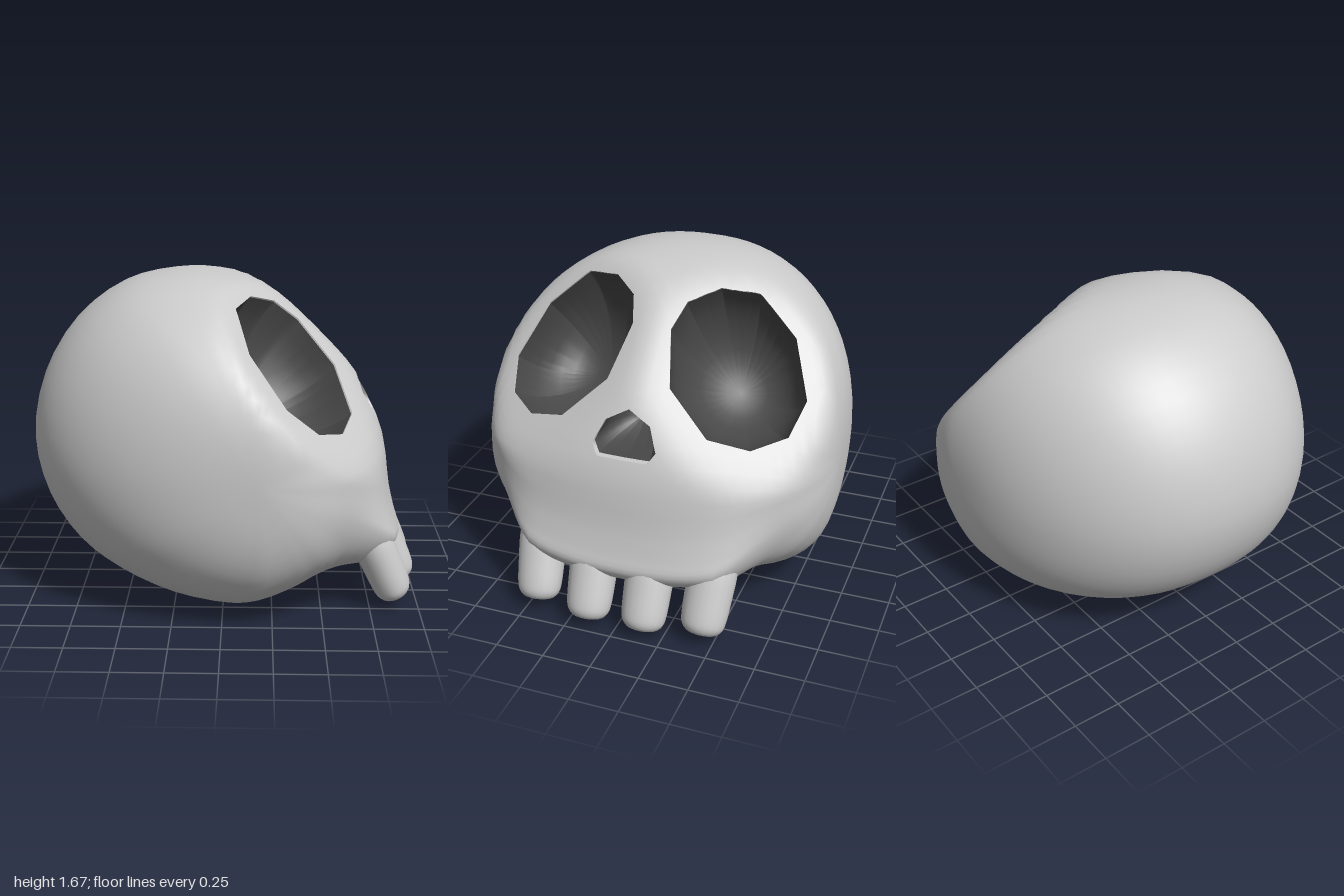
import * as THREE from 'three';
import { mergeVertices } from 'three/addons/utils/BufferGeometryUtils.js';

const V = (x, y, z) => new THREE.Vector3(x, y, z);
const CORE = V(-0.1, 0.83, 0); // the holes are cut as cones from this point
const HALF_WIDTH = 0.935;
const EYE_PLANE = V(0.66, 0.655, 0.367).normalize();
const EYE_OFFSET = 1.222;

// Outline of the skull in x, y; jaw rows add the rounder outline used towards the sides
const OUTLINE = [
  [0.9, 0.42, 0.8, 0.55], [0.868, 0.56, 0.82, 0.65], [0.83, 0.82], [0.72, 1.07], [0.605, 1.26],
  [0.42, 1.45], [0.19, 1.6], [-0.05, 1.663], [-0.28, 1.664], [-0.53, 1.6], [-0.77, 1.42], [-0.94, 1.14],
  [-1, 0.82], [-0.94, 0.54], [-0.8, 0.32], [-0.62, 0.18], [-0.36, 0.06], [-0.07, 0.003], [0.07, 0.012],
  [0.3, 0.09], [0.42, 0.145], [0.52, 0.175, 0.51, 0.19], [0.62, 0.19, 0.59, 0.25],
  [0.76, 0.21, 0.66, 0.32], [0.88, 0.275, 0.72, 0.39], [0.92, 0.34, 0.77, 0.47],
];

// Rims of the left eye and the nose in x, y, z
const EYE = [
  [0.38, 1.43, 0.1], [0.25, 1.52, 0.14], [0.13, 1.56, 0.27], [0.06, 1.53, 0.45], [0.14, 1.38, 0.69],
  [0.31, 1.12, 0.78], [0.47, 0.99, 0.74], [0.59, 0.95, 0.58], [0.63, 1.0, 0.37], [0.56, 1.2, 0.16],
];
const NOSE = [
  [0.68, 1.12, 0], [0.71, 1.06, 0.115], [0.75, 0.95, 0.16], [0.77, 0.9, 0.125],
  [0.77, 0.9, -0.125], [0.75, 0.95, -0.16], [0.71, 1.06, -0.115],
];

// Flatten the surface softly where it passes the plane of an eye
function flattenAtEye(p, side) {
  const n = V(EYE_PLANE.x, EYE_PLANE.y, EYE_PLANE.z * side);
  const d = p.clone().sub(CORE);
  const reach = n.dot(d);
  if (reach < 0.05) return;
  const t = (EYE_OFFSET - n.dot(CORE)) / reach;
  const h = Math.max(0.05 - Math.abs(1 - t), 0);
  p.copy(CORE).addScaledVector(d, Math.min(1, t) - (h * h) / 0.2);
}

// Skull skin: the outline shrinks and rounds off towards both sides
function skinTriangles() {
  const NU = OUTLINE.length * 3, NV = 40;
  const loopOf = (f) => new THREE.CatmullRomCurve3(OUTLINE.map(f), true).getPoints(NU);
  const jawLoop = loopOf(([x, y]) => V(x, y, 0));
  const roundLoop = loopOf(([x, y, rx = x, ry = y]) => V(rx, ry, 0));
  const points = [], index = [];
  for (let i = 0; i < NU; i++) {
    for (let j = 0; j <= NV; j++) {
      const k = j === 0 ? -1 : j === NV ? 1 : Math.sin((j / NV - 0.5) * Math.PI);
      const d = jawLoop[i].clone().lerp(roundLoop[i], THREE.MathUtils.smoothstep(Math.abs(k), 0.5, 0.85)).sub(CORE);
      // Squareness of the cross-section: front, back, top and bottom differ
      const c = d.x / d.length(), s = d.y / d.length();
      const power = c * c * (c > 0 ? 2 : 2.6) + s * s * (s > 0 ? 2.4 : 2.9);
      const shrink = Math.pow(Math.max(0, 1 - Math.pow(Math.abs(k), power)), 1 / power);
      const p = CORE.clone().addScaledVector(d, shrink);
      p.add(V(0.27 * k * k, -0.05 * k * k, HALF_WIDTH * k));
      flattenAtEye(p, 1);
      flattenAtEye(p, -1);
      points.push(p);
      const a = i * (NV + 1) + j, b = ((i + 1) % NU) * (NV + 1) + j;
      if (j > 0 && j < NV) index.push(a, b, b + 1);
      if (j < NV - 1) index.push(a, b + 1, a + 1);
    }
  }
  const geo = new THREE.BufferGeometry().setFromPoints(points).setIndex(index);
  geo.computeVertexNormals();
  points.forEach((p, i) => {
    const j = i % (NV + 1);
    p.normal = j === 0 ? V(0, 0, -1) : j === NV ? V(0, 0, 1) : V(0, 0, 0).fromBufferAttribute(geo.attributes.normal, i);
  });
  const tris = [];
  for (let i = 0; i < index.length; i += 3) tris.push(index.slice(i, i + 3).map((n) => points[n]));
  return tris;
}

// Cut a convex hole; returns the remaining skin and the rim edges
function cutHole(tris, rim) {
  const mid = rim.reduce((s, p) => s.add(p), V(0, 0, 0)).divideScalar(rim.length);
  const planes = rim.map((p, i) => {
    const n = p.clone().sub(CORE).cross(rim[(i + 1) % rim.length].clone().sub(CORE)).normalize();
    return n.dot(mid.clone().sub(CORE)) > 0 ? n.negate() : n;
  });
  const dist = (n, p) => n.dot(p) - n.dot(CORE);
  const kept = [], edges = [];
  for (const tri of tris) {
    if (planes.some((n) => tri.every((p) => dist(n, p) >= -1e-6))) {
      kept.push(tri);
      continue;
    }
    let inside = tri;
    for (const n of planes) {
      const out = [], inn = [];
      inside.forEach((a, i) => {
        const b = inside[(i + 1) % inside.length];
        const da = dist(n, a), db = dist(n, b);
        if (da >= 0) out.push(a);
        if (da <= 0) inn.push(a);
        if (da * db < 0) {
          const t = da / (da - db);
          const m = a.clone().lerp(b, t);
          m.normal = a.normal.clone().lerp(b.normal, t).normalize();
          out.push(m);
          inn.push(m);
        }
      });
      for (let i = 1; i < out.length - 1; i++) kept.push([out[0], out[i], out[i + 1]]);
      inside = inn;
      if (inside.length < 3) break;
    }
    if (inside.length < 3) continue;
    inside.forEach((a, i) => {
      const b = inside[(i + 1) % inside.length];
      const onRim = planes.some((n) => Math.abs(dist(n, a)) < 1e-6 && Math.abs(dist(n, b)) < 1e-6);
      if (onRim) edges.push([a, b]);
    });
  }
  return { kept, edges, mid };
}

// Bowl that runs inwards from the rim edges and becomes round as it deepens
function socketTriangles(edges, mid, depth) {
  const RINGS = 8, tris = [];
  const mean = edges.reduce((s, [a]) => s + a.distanceTo(mid), 0) / edges.length;
  const ring = (p, k) => {
    const a = (k / RINGS) * Math.PI / 2;
    const out = p.clone().sub(mid);
    const radius = THREE.MathUtils.lerp(out.length(), mean, Math.sin(a));
    const r = k === RINGS ? 0 : Math.cos(a) * radius;
    return out.setLength(r).add(mid).addScaledVector(depth, Math.sin(a));
  };
  for (const [a, b] of edges) {
    for (let k = 0; k < RINGS; k++) {
      const a0 = ring(a, k), b0 = ring(b, k), a1 = ring(a, k + 1), b1 = ring(b, k + 1);
      tris.push([a0, b0, b1]);
      if (k < RINGS - 1) tris.push([a0, b1, a1]);
    }
  }
  return tris;
}

function smoothMesh(tris, material, name) {
  const geo = mergeVertices(new THREE.BufferGeometry().setFromPoints(tris.flat()), 1e-4);
  geo.computeVertexNormals();
  const mesh = new THREE.Mesh(geo, material);
  mesh.name = name;
  return mesh;
}

export function createModel() {
  const group = new THREE.Group();
  group.name = 'skull';
  const bone = new THREE.MeshStandardMaterial({ color: 0xcccccc });
  const dark = new THREE.MeshStandardMaterial({ color: 0x484848 });

  // Openings: a short bone lip, then a dark bowl
  const holes = [
    { name: 'leftEye', rim: EYE.map((p) => V(...p)), depth: V(-0.29, -0.29, -0.06), lip: 0.02 },
    { name: 'rightEye', rim: EYE.map(([x, y, z]) => V(x, y, -z)), depth: V(-0.29, -0.29, 0.06), lip: 0.02 },
    { name: 'nose', rim: NOSE.map((p) => V(...p)), depth: V(-0.22, 0, 0), lip: 0.15 },
  ];
  let skin = skinTriangles();
  for (const { name, rim, depth, lip } of holes) {
    const { kept, edges, mid } = cutHole(skin, rim);
    skin = kept;
    const step = depth.clone().multiplyScalar(lip);
    const inner = edges.map((edge) => edge.map((p) => p.clone().add(step)));
    const lipTris = edges.flatMap(([a, b], i) => [[a, b, inner[i][1]], [a, inner[i][1], inner[i][0]]]);
    group.add(smoothMesh(lipTris, bone, name + 'Lip'));
    group.add(smoothMesh(socketTriangles(inner, mid.add(step), depth), dark, name + 'Socket'));
  }

  // Cranium and upper jaw
  const skinGeo = new THREE.BufferGeometry().setFromPoints(skin.flat());
  const normals = skin.flat().flatMap((p) => p.normal.toArray());
  skinGeo.setAttribute('normal', new THREE.Float32BufferAttribute(normals, 3));
  const cranium = new THREE.Mesh(skinGeo, bone);
  cranium.name = 'cranium';
  group.add(cranium);

  // Teeth: blunt rounded pegs that lean forward, their roots sunk into the jaw
  const profile = new THREE.SplineCurve([
    [0, 0], [0.06, 0.003], [0.094, 0.03], [0.108, 0.08], [0.114, 0.2], [0.116, 0.32], [0.1, 0.42], [0.05, 0.5],
  ].map(([r, y]) => new THREE.Vector2(r, y)));
  const toothGeo = new THREE.LatheGeometry(profile.getPoints(24).map((p) => p.set(Math.max(p.x, 0), p.y)), 20);
  for (const side of [-1, 1]) {
    for (const [name, x, y, z, tilt] of [['InnerTooth', 0.94, 0.04, 0.147, 0.01], ['OuterTooth', 0.89, 0.055, 0.44, 0.06]]) {
      const tooth = new THREE.Mesh(toothGeo, bone);
      tooth.name = (side > 0 ? 'left' : 'right') + name;
      tooth.position.set(x, y, z * side);
      tooth.rotation.set(tilt * side, 0, 0.42);
      tooth.scale.set(0.9, 1, 1.06);
      group.add(tooth);
    }
  }
  return group;
}
